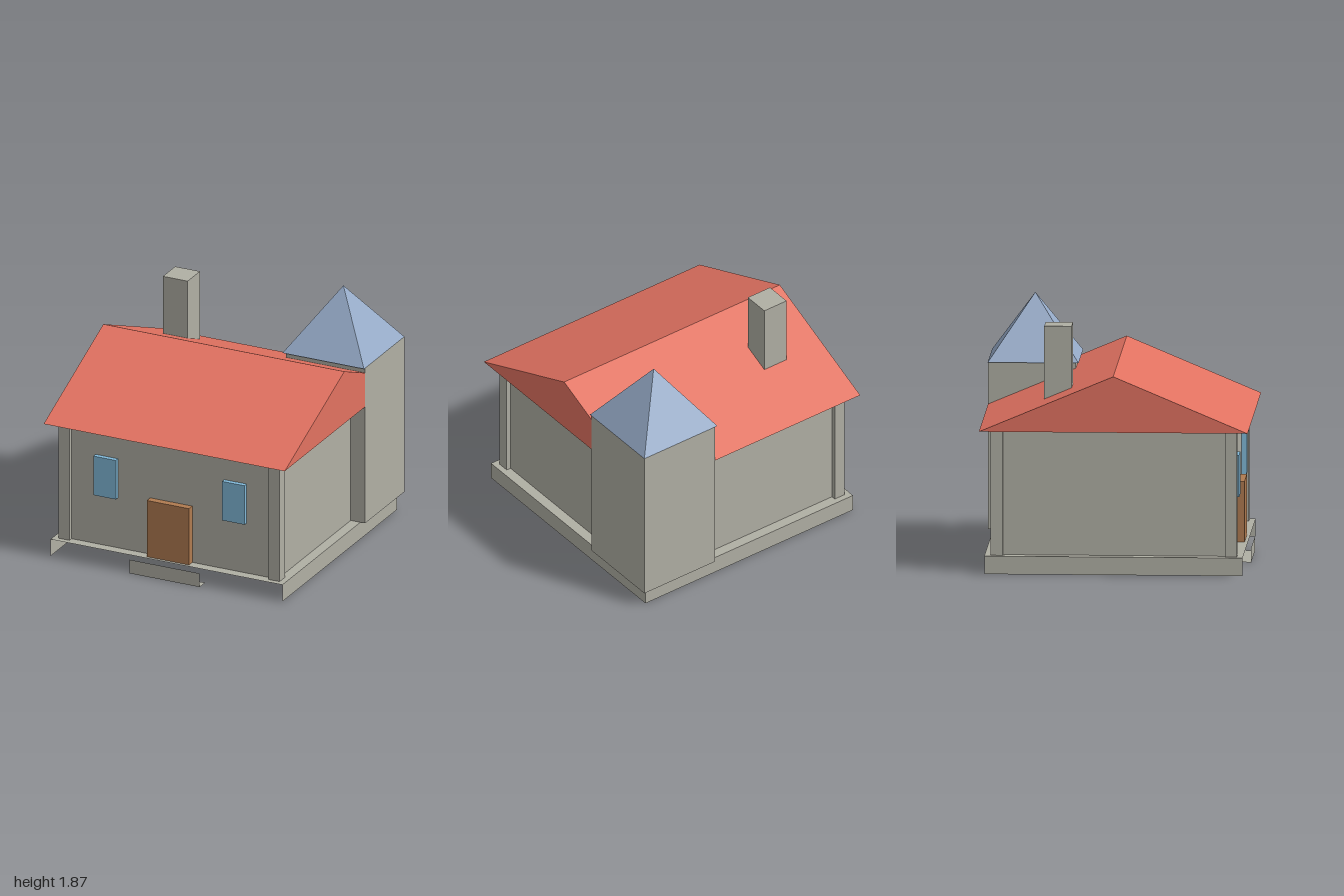
import * as THREE from 'three';

export function createModel() {
  const model = new THREE.Group();
  model.name = 'house';

  const material = (name, color, side = THREE.FrontSide) => {
    const m = new THREE.MeshStandardMaterial({ color, side });
    m.name = name;
    return m;
  };
  const stone = material('stone', 0xb0afa4, THREE.DoubleSide);
  const redTile = material('red tile', 0xe27261);
  const blueSlate = material('blue slate', 0x96abc8, THREE.DoubleSide);
  const wood = material('wood', 0xb07b50);
  const glass = material('glass', 0x82bada);

  const add = (name, geometry, mat) => {
    const mesh = new THREE.Mesh(geometry, mat);
    mesh.name = name;
    model.add(mesh);
    return mesh;
  };

  // Box given by its limits; skip lists sides left open (0..5 = +x -x +y -y +z -z)
  const block = (name, mat, [x0, x1], [y0, y1], [z0, z1], skip = []) => {
    const g = new THREE.BoxGeometry(x1 - x0, y1 - y0, z1 - z0);
    const index = Array.from(g.index.array);
    g.setIndex(index.filter((_, i) => !skip.includes(Math.floor(i / 6))));
    g.clearGroups();
    g.translate((x0 + x1) / 2, (y0 + y1) / 2, (z0 + z1) / 2);
    return add(name, g, mat);
  };

  const floor = 0.135, eave = 1.075;

  // Plinth, open at the front and underneath
  block('plinth', stone, [-0.96, 0.96], [0, floor], [-0.96, 0.96], [3, 4]);
  // Door step: a riser and its bottom plate
  block('doorStep', stone, [-0.29, 0.29], [0, 0.11], [0.9, 0.99], [0, 1, 2, 5]);

  // Walls with a pillar at each corner
  block('walls', stone, [-0.88, 0.88], [floor, eave], [-0.88, 0.88]);
  for (const x of [-0.87, 0.87]) {
    for (const z of [-0.87, 0.87]) {
      block('cornerPillar', stone, [x - 0.045, x + 0.045], [floor, eave], [z - 0.045, z + 0.045]);
    }
  }

  // Door and windows
  block('door', wood, [-0.175, 0.175], [floor, 0.59], [0.87, 0.935]);
  for (const x of [-0.533, 0.533]) {
    block('window', glass, [x - 0.0925, x + 0.0925], [0.54, 0.855], [0.87, 0.917]);
  }

  // Gabled roof, ridge along x
  const gable = new THREE.Shape([
    new THREE.Vector2(-0.998, eave),
    new THREE.Vector2(0.998, eave),
    new THREE.Vector2(0, 1.495),
  ]);
  const roof = new THREE.ExtrudeGeometry(gable, { depth: 1.996, bevelEnabled: false });
  roof.translate(0, 0, -0.998).rotateY(Math.PI / 2);
  add('mainRoof', roof, redTile);

  // Chimney
  block('chimney', stone, [-0.665, -0.46], [1.2, 1.82], [-0.53, -0.325]);

  // Corner tower, open underneath, with a pyramid roof
  block('tower', stone, [0.345, 1], [floor, 1.39], [-1, -0.345], [3]);
  const pyramid = new THREE.ConeGeometry(0.3375 * Math.SQRT2, 0.48, 4, 1, true, Math.PI / 4).toNonIndexed();
  pyramid.computeVertexNormals();
  pyramid.translate(0.6625, 1.39 + 0.24, -0.6625);
  add('towerRoof', pyramid, blueSlate);

  return model;
}
